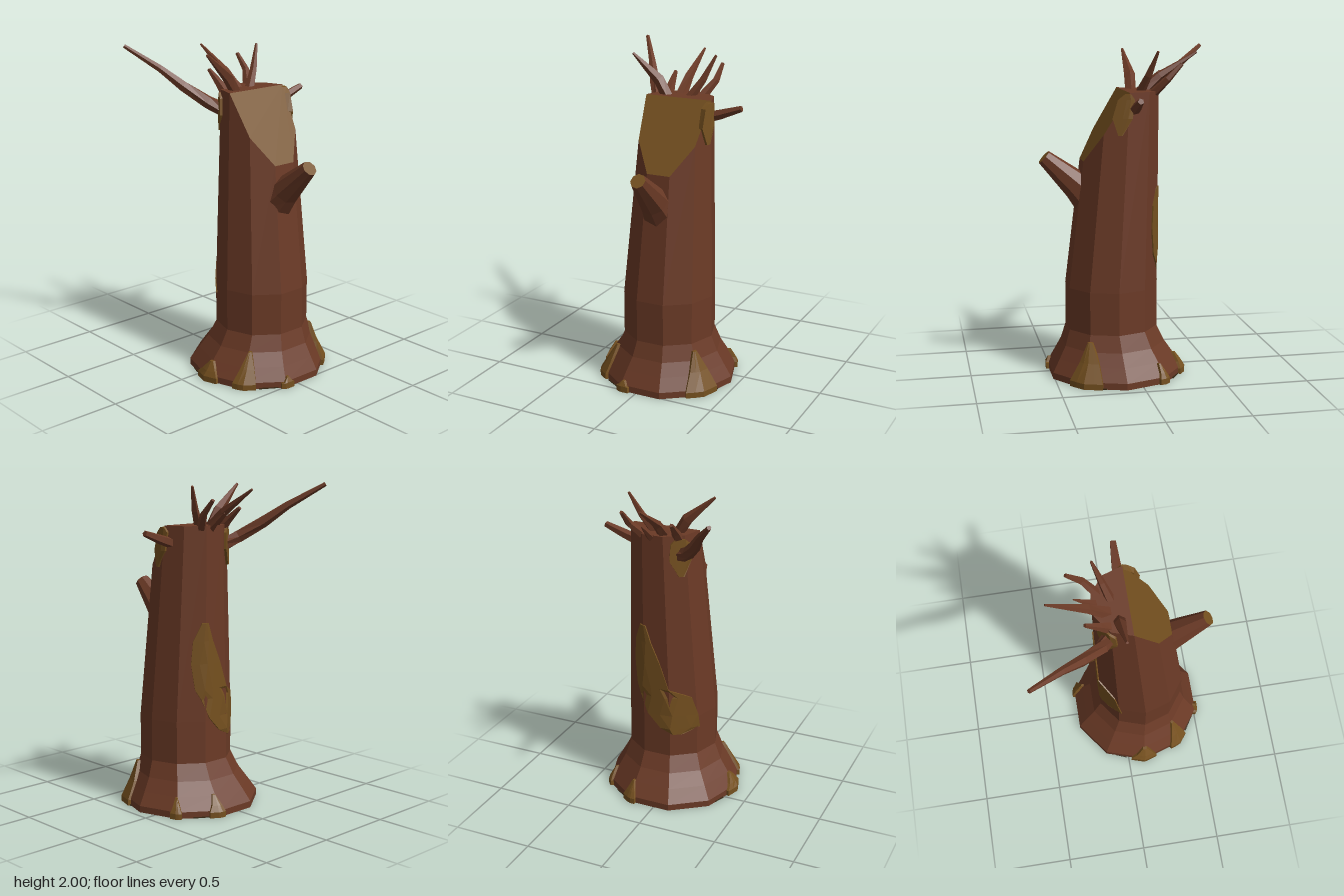
import * as THREE from 'three';

const BARK = 0x6b3a26, WOOD = 0x75501f, DARK = 0x3a2814;
const SIDES = 10, TOP = 1.75;
const V = (x, y, z) => new THREE.Vector3(x, y, z);
const rad = THREE.MathUtils.degToRad;

// Trunk sections: height, centre x, centre z, radius
const SECTIONS = [
  [0, 0.03, 0.105, 0.425], [0.04, 0.03, 0.105, 0.425], [0.12, 0.034, 0.112, 0.375],
  [0.2, 0.04, 0.12, 0.325], [0.3, 0.045, 0.13, 0.285], [0.56, 0.045, 0.13, 0.285],
  [TOP, 0.065, 0.055, 0.215],
];

// Corner of the trunk at a height
function corner(j, y) {
  let k = 0;
  while (k < SECTIONS.length - 2 && y > SECTIONS[k + 1][0]) k++;
  const [a, b] = [SECTIONS[k], SECTIONS[k + 1]];
  const t = (y - a[0]) / (b[0] - a[0]);
  const [cx, cz, r] = [1, 2, 3].map(i => a[i] + (b[i] - a[i]) * t);
  const ang = (j / SIDES) * Math.PI * 2;
  return V(cx + r * Math.cos(ang), y, cz + r * Math.sin(ang));
}

// Point on the faceted trunk at an angle in degrees (0 = +x, 90 = front), pushed outward
function onTrunk(deg, y, out) {
  const f = (deg / 360) * SIDES, j = Math.floor(f);
  const p = corner(j, y).lerp(corner(j + 1, y), f - j);
  return p.add(V(Math.cos(rad(deg)) * out, 0, Math.sin(rad(deg)) * out));
}

function makeMesh(name, points, index, color) {
  const g = new THREE.BufferGeometry().setFromPoints(points);
  g.setIndex(index);
  g.computeVertexNormals();
  const m = new THREE.Mesh(g, new THREE.MeshStandardMaterial({ color, flatShading: true, side: THREE.DoubleSide }));
  m.name = name;
  return m;
}

// Skin between rows of points
function loft(name, rows, closed, color) {
  const n = rows[0].length, index = [];
  for (let i = 0; i < rows.length - 1; i++) {
    for (let j = 0; j < (closed ? n : n - 1); j++) {
      const a = i * n + j, b = i * n + ((j + 1) % n), c = a + n, d = b + n;
      index.push(a, c, b, b, c, d);
    }
  }
  return makeMesh(name, rows.flat(), index, color);
}

function fan(name, pts, color) {
  const index = [];
  for (let j = 1; j < pts.length - 1; j++) index.push(0, j + 1, j);
  return makeMesh(name, pts, index, color);
}

// Tapered faceted limb: stops are [x, y, z, radius]
function limb(name, stops, sides = 6, endColor = BARK) {
  const pts = stops.map(s => V(s[0], s[1], s[2]));
  const rows = pts.map((p, i) => {
    const dir = pts[Math.min(i + 1, pts.length - 1)].clone().sub(pts[Math.max(i - 1, 0)]).normalize();
    const u = V(1, 0, 1).cross(dir).normalize(), v = u.clone().cross(dir);
    return Array.from({ length: sides }, (_, j) => {
      const a = (j / sides) * Math.PI * 2, r = stops[i][3];
      return p.clone().addScaledVector(u, r * Math.cos(a)).addScaledVector(v, r * Math.sin(a));
    });
  });
  const group = new THREE.Group();
  group.name = name;
  group.add(loft(name + 'Side', rows, true, BARK), fan(name + 'End', rows[rows.length - 1], endColor));
  return group;
}

// Raised plate following the trunk: rows are [height, start angle, end angle], bottom up
function plate(name, spans, out) {
  const all = [spans[0], ...spans, spans[spans.length - 1]];
  const steps = [0, 0, 0.25, 0.5, 0.75, 1, 1];
  const rows = all.map(([y, a, b], i) => steps.map((t, j) => {
    const border = i === 0 || i === all.length - 1 || j === 0 || j === steps.length - 1;
    return onTrunk(a + (b - a) * t, y, border ? -0.02 : out);
  }));
  return loft(name, rows, false, WOOD);
}

export function createModel() {
  const model = new THREE.Group();
  model.name = 'treeStump';

  // Trunk with its front sheared off by a sloping cut
  const cols = Array.from({ length: SIDES }, (_, j) => j);
  const rows = SECTIONS.slice(0, -1).map(s => cols.map(j => corner(j, s[0])));
  const rim = cols.map(j => {
    const p = corner(j, TOP), q = corner(j, TOP - 1);
    const depth = Math.max(0, (p.z - 0.055) / (0.61 - (q.z - p.z)));
    return corner(j, TOP - depth);
  });
  rows.push(rim);
  model.add(loft('trunk', rows, true, BARK));
  model.add(fan('slopingCut', rim.slice(0, SIDES / 2 + 1), WOOD));
  model.add(fan('trunkTop', [...rim.slice(SIDES / 2), rim[0]], BARK));

  // Bare wood wedges around the roots: angle, half width, height
  const wedges = [[35, 15, 0.26], [106, 6, 0.07], [143, 10, 0.21], [180, 12, 0.12], [290, 7, 0.13], [325, 5, 0.12]];
  for (const [a, w, h] of wedges) {
    model.add(plate('rootWedge', [
      [0, a - w, a + w], [0.035, a - w, a + w], [h * 0.55, a - w * 0.75, a + w * 0.6], [h, a - w * 0.2, a + w * 0.15],
    ], 0.018));
  }

  // Peeled bark on the back
  model.add(plate('barkScar', [
    [0.45, -125, -112], [0.49, -148, -95], [0.58, -145, -78], [0.7, -138, -66],
    [0.76, -108, -58], [0.92, -97, -52], [1.06, -84, -54], [1.17, -76, -66],
  ], 0.008));

  // Torn collars under the upper branches
  model.add(plate('rightCollar', [[1.5, 8, 14], [1.6, -6, 24], [1.71, -8, 18], [1.74, -2, 8]], 0.015));
  model.add(plate('leftCollar', [[1.5, -138, -130], [1.6, -153, -117], [1.7, -152, -120], [1.73, -143, -128]], 0.015));

  // Branches
  model.add(limb('frontStub', [[0.045, 1.08, 0.24, 0.12], [0.045, 1.18, 0.34, 0.09], [0.045, 1.355, 0.535, 0.047]], 8, WOOD));
  model.add(limb('longBranch', [
    [-0.06, 1.61, -0.06, 0.045], [-0.16, 1.67, -0.13, 0.04], [-0.25, 1.76, -0.25, 0.035],
    [-0.33, 1.86, -0.37, 0.024], [-0.46, 1.99, -0.555, 0.013],
  ]));
  model.add(limb('sideBranch', [[0.2, 1.63, 0.025, 0.036], [0.33, 1.67, 0.026, 0.03], [0.46, 1.715, 0.028, 0.019]], 5));

  // Splinters standing on the broken top
  const splinters = [
    [[0.018, 1.73, -0.07, 0.038], [0.018, 1.83, -0.18, 0.028], [0.018, 1.97, -0.41, 0.007]],
    [[-0.04, 1.73, -0.01, 0.035], [-0.1, 1.83, -0.016, 0.036], [-0.27, 1.98, -0.005, 0.008]],
    [[0.09, 1.73, -0.04, 0.03], [0.16, 1.84, -0.08, 0.022], [0.225, 1.985, -0.125, 0.008]],
    [[0.14, 1.73, -0.11, 0.03], [0.195, 1.82, -0.19, 0.022], [0.2, 1.91, -0.275, 0.012]],
    [[-0.07, 1.73, -0.08, 0.035], [-0.077, 1.78, -0.13, 0.025], [-0.085, 1.85, -0.21, 0.012]],
    [[0.08, 1.73, -0.13, 0.027], [0.085, 1.83, -0.25, 0.004]],
  ];
  splinters.forEach(s => model.add(limb('splinter', s, 5)));

  // Flat crossed strips under the open base
  for (const [angle, width] of [[122, 0.12], [22, 0.07]]) {
    const strip = new THREE.Mesh(
      new THREE.BoxGeometry(0.82, 0.006, width),
      new THREE.MeshStandardMaterial({ color: DARK, flatShading: true }),
    );
    strip.name = 'baseStrip';
    strip.position.set(0.03, 0.004, 0.105);
    strip.rotation.y = -rad(angle);
    model.add(strip);
  }
  return model;
}
